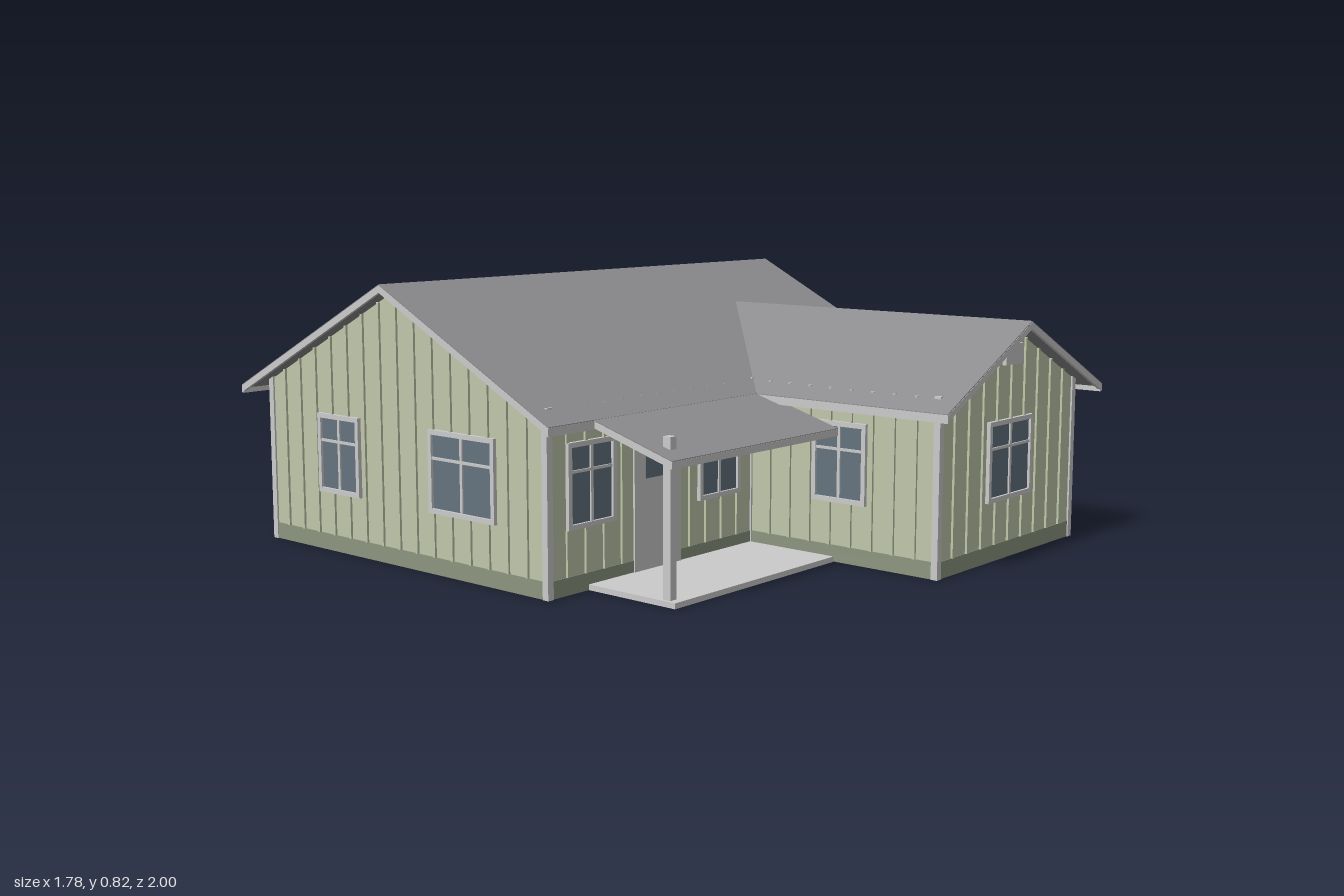
import * as THREE from 'three';

const mat = (color) => new THREE.MeshStandardMaterial({ color, side: THREE.DoubleSide });
const TRIM = mat(0xcccccc), WALL = mat(0xbfc8aa), BASE = mat(0x8d9680);
const ROOF = mat(0x8c8c8e), GLASS = mat(0x64747f);

function box(parent, name, material, w, h, d, x, y, z) {
  const m = new THREE.Mesh(new THREE.BoxGeometry(w, h, d), material);
  m.name = name;
  m.position.set(x, y, z);
  parent.add(m);
  return m;
}

function extrude(parent, name, material, points, depth, z = 0) {
  const shape = new THREE.Shape(points.map(([x, y]) => new THREE.Vector2(x, y)));
  const m = new THREE.Mesh(new THREE.ExtrudeGeometry(shape, { depth, bevelEnabled: false }), material);
  m.name = name;
  m.position.z = z;
  parent.add(m);
  return m;
}

// Framed window with a mullion and a transom bar, centred at u on a wall
function addWindow(wall, { u, w, y0, y1 }) {
  const g = new THREE.Group();
  g.name = 'window';
  const h = y1 - y0, cy = (y0 + y1) / 2, f = 0.014;
  box(g, 'windowPane', GLASS, w - f, h - f, 0.014, u, cy, -0.003);
  for (const s of [-1, 1]) {
    box(g, 'windowFrameSide', TRIM, f, h, 0.016, u + s * (w - f) / 2, cy, 0.004);
    box(g, 'windowFrameRail', TRIM, w, f, 0.016, u, cy + s * (h - f) / 2, 0.004);
  }
  box(g, 'windowMullion', TRIM, 0.01, h - f, 0.01, u, cy, 0.004);
  box(g, 'windowTransom', TRIM, w - f, 0.008, 0.01, u, y1 - 0.34 * h, 0.004);
  wall.add(g);
}

// Wall in its own frame: u to the right, outside facing +z, top edge given as [u, y] points
function addWall(parent, name, x, z, turn, top, windows, door) {
  const g = new THREE.Group();
  g.name = name;
  g.position.set(x, 0, z);
  g.rotation.y = turn;
  const u0 = top[0][0], u1 = top[top.length - 1][0];
  extrude(g, 'wallPanel', WALL, [[u0, 0.05], [u1, 0.05], ...top.slice().reverse()], 0.008, -0.008);
  box(g, 'baseStrip', BASE, u1 - u0, 0.05, 0.01, (u0 + u1) / 2, 0.025, -0.003);
  windows.forEach((w) => addWindow(g, w));

  // Battens, interrupted by the openings
  const openings = door ? [...windows, door] : windows;
  const n = Math.round((u1 - u0) / 0.076);
  for (let i = 1; i < n; i++) {
    const u = u0 + (u1 - u0) * i / n;
    const k = Math.max(1, top.findIndex((p) => p[0] >= u));
    const [a, b] = [top[k - 1], top[k]];
    let yTop = a[1] + (b[1] - a[1]) * (u - a[0]) / (b[0] - a[0]);
    if (a[1] === b[1]) yTop += 0.018;
    const hit = openings.find((o) => Math.abs(u - o.u) < o.w / 2 + 0.005);
    const spans = hit ? [[0.05, hit.y0], [hit.y1, yTop]] : [[0.05, yTop]];
    for (const [lo, hi] of spans) {
      if (hi - lo > 0.005) box(g, 'batten', WALL, 0.009, hi - lo, 0.008, u, (lo + hi) / 2, 0.003);
    }
  }
  parent.add(g);
  return g;
}

// Gable roof: ridge along local z, with rake boards on chosen ends and eave boards
function addGableRoof(parent, name, half, eave, ridge, z0, z1, rakeEnds) {
  const g = new THREE.Group();
  g.name = name;
  const chevron = (up, t) => [
    [-half, eave + up], [0, ridge + up], [half, eave + up],
    [half, eave - t], [0, ridge - t], [-half, eave - t]];
  extrude(g, 'roofSlab', ROOF, chevron(0, 0.015), z1 - z0, z0);
  for (const z of rakeEnds) extrude(g, 'rakeBoard', TRIM, chevron(-0.003, 0.024), 0.01, z > (z0 + z1) / 2 ? z - 0.009 : z - 0.001);
  for (const s of [-1, 1]) {
    box(g, 'eaveBoard', TRIM, 0.01, 0.024, z1 - z0, s * (half - 0.004), eave - 0.014, (z0 + z1) / 2);
  }
  parent.add(g);
  return g;
}

export function createModel() {
  const house = new THREE.Group();
  house.name = 'house';
  const E = 0.5, P = Math.PI;
  const X = 0.825, ZB = -0.935, ZM = 0.27, ZF = 0.935, XW = 0.05, RZ = -0.3325, RX = 0.4375;
  const win = (u, w = 0.19, y0 = 0.18, y1 = 0.42) => ({ u, w, y0, y1 });

  // Walls
  const door = { u: -0.385, w: 0.2, y0: 0, y1: 0.4 };
  const front = addWall(house, 'mainFrontWall', 0, ZM, 0, [[-X, E], [XW, E]],
    [win(-0.66), win(-0.11)], door);
  addWall(house, 'wingFrontWall', 0, ZF, 0, [[XW, E], [RX, 0.69], [X, E]], [win(RX - 0.005, 0.25)]);
  addWall(house, 'backWall', 0, ZB, P, [[-X, E], [X, E]],
    [win(-0.56, 0.25), win(0.1, 0.3), win(0.53, 0.19, 0.2)]);
  addWall(house, 'leftWall', X, 0, P / 2, [[-ZF, E], [-ZM, E], [-RZ, 0.805], [-ZB, E]],
    [win(-0.55), win(-0.02, 0.14, 0.26), win(0.655)]);
  addWall(house, 'rightWall', -X, 0, -P / 2, [[ZB, E], [RZ, 0.805], [ZM, E]],
    [win(-0.6), win(-0.06, 0.27)]);
  addWall(house, 'wingRightWall', XW, 0, -P / 2, [[ZM, E], [ZF, E]], [win(0.6)]);

  // Front door
  box(front, 'door', TRIM, 0.2, 0.385, 0.016, door.u, 0.2075, -0.002);
  box(front, 'doorGlass', GLASS, 0.11, 0.09, 0.008, door.u, 0.325, 0.004);

  // Corner posts
  for (const [x, z] of [[-X, ZB], [X, ZB], [-X, ZM], [XW, ZF], [X, ZF], [XW, ZM]]) {
    const sx = x === -X || x === XW ? 1 : -1;
    const sz = z === ZB ? 1 : -1;
    box(house, 'cornerPost', TRIM, 0.021, 0.522, 0.021, x + sx * 0.005, 0.261, z + sz * 0.005);
  }

  // Roofs
  const main = addGableRoof(house, 'mainRoof', 0.67, 0.485, 0.825, -0.888, 0.888, [-0.888, 0.888]);
  main.rotation.y = P / 2;
  main.position.z = -0.33;
  const wing = addGableRoof(house, 'wingRoof', 0.4515, 0.485, 0.71, -0.33, 1, [1]);
  wing.position.x = RX - 0.001;

  // Gable vent
  box(house, 'gableVent', TRIM, 0.1, 0.06, 0.016, 0.435, 0.61, ZF + 0.006);

  // Porch: sloping roof, boards, floor and post
  const porch = new THREE.Group();
  porch.name = 'porch';
  const x0 = -0.715, len = 0.73;
  const slope = (a, b) => [[-0.615, 0.405 + a], [-0.3, 0.496 + a], [-0.3, 0.496 - b], [-0.615, 0.405 - b]];
  const addSlope = (name, material, a, b, depth, x) => {
    const m = extrude(porch, name, material, slope(a, b), depth);
    m.rotation.y = P / 2;
    m.position.x = x;
  };
  addSlope('porchRoof', ROOF, 0, 0.014, len, x0);
  addSlope('porchRakeBoard', TRIM, -0.003, 0.022, 0.01, x0 - 0.001);
  box(porch, 'porchEaveBoard', TRIM, len, 0.02, 0.01, x0 + len / 2, 0.393, 0.611);
  box(porch, 'porchFloor', TRIM, 0.715, 0.016, 0.315, -0.3125, 0.008, 0.4275);
  box(porch, 'porchPost', TRIM, 0.025, 0.455, 0.025, -0.648, 0.2275, 0.548);
  house.add(porch);

  return house;
}
